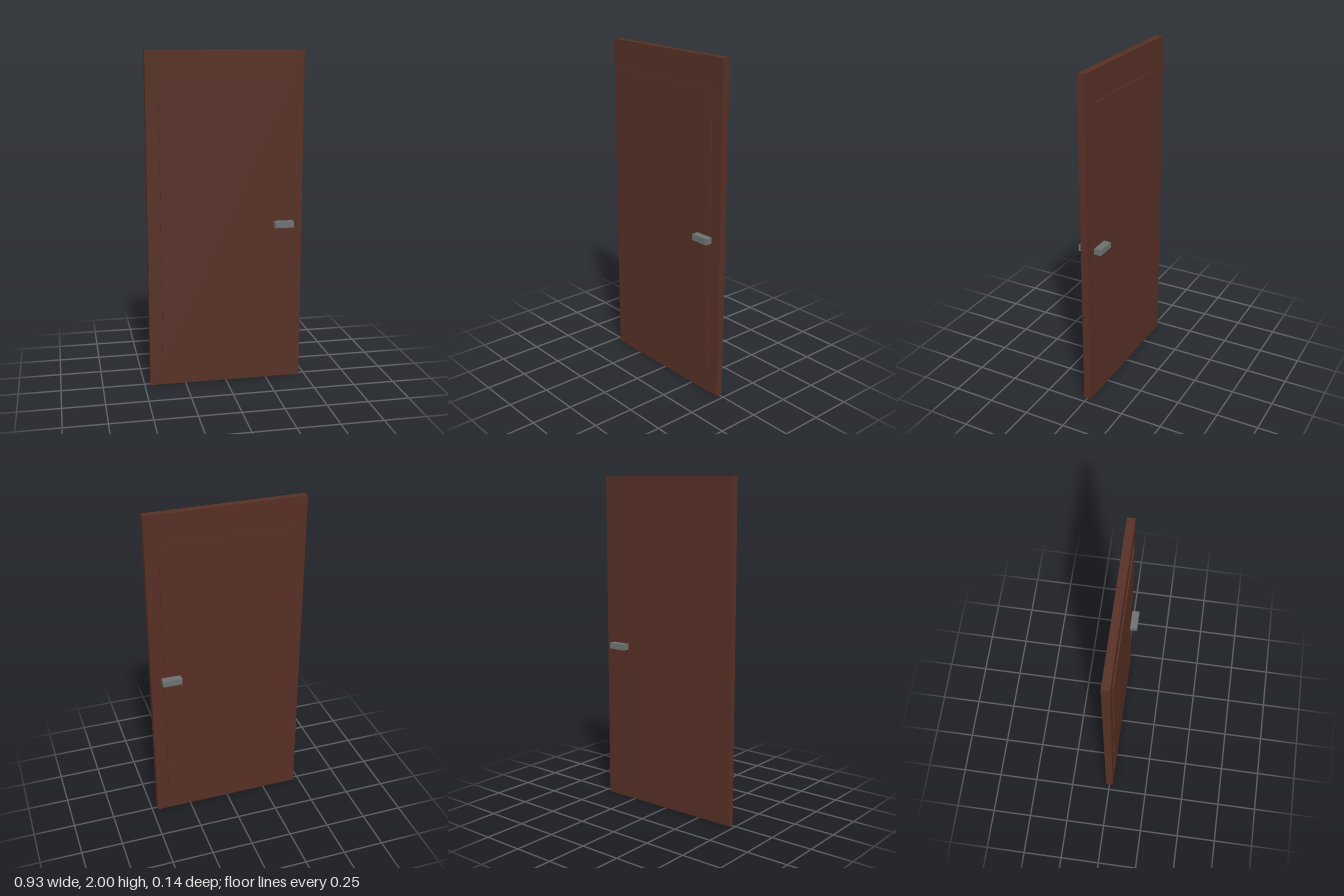
import * as THREE from 'three';

export function createModel() {
  const door = new THREE.Group();
  door.name = 'door';

  const wood = new THREE.MeshStandardMaterial({ color: 0x562f24 });
  wood.name = 'dark brown wood';
  const metal = new THREE.MeshStandardMaterial({ color: 0x6c716f });
  metal.name = 'grey metal';

  // Adds a box given its size and centre
  function addBox(name, material, size, centre) {
    const mesh = new THREE.Mesh(new THREE.BoxGeometry(...size), material);
    mesh.name = name;
    mesh.position.set(...centre);
    door.add(mesh);
  }

  const slabDepth = 0.044;
  const panelDepth = 0.007;
  const handleDepth = 0.043;

  // Main slab
  addBox('slab', wood, [0.93, 2, slabDepth], [0, 1, 0]);

  // Raised panel and lever handle on each face
  for (const [side, sign] of [['front', 1], ['back', -1]]) {
    const panelZ = slabDepth / 2 + panelDepth / 2;
    const handleZ = slabDepth / 2 + panelDepth + handleDepth / 2;
    addBox(side + 'Panel', wood, [0.776, 1.667, panelDepth], [0, 0.994, sign * panelZ]);
    addBox(side + 'Handle', metal, [0.115, 0.036, handleDepth], [0.348, 0.974, sign * handleZ]);
  }

  return door;
}
